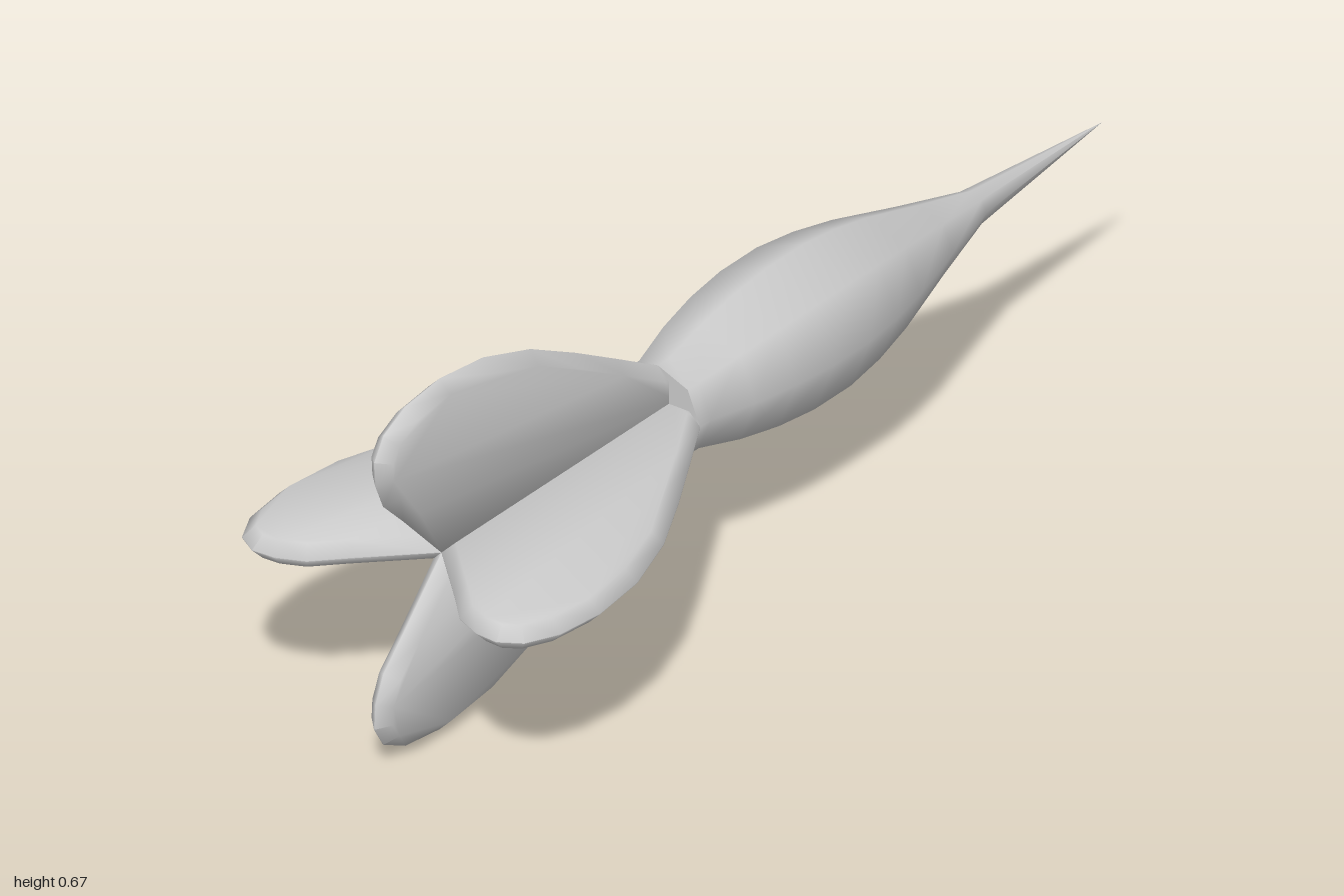
import * as THREE from 'three';
import { mergeVertices, toCreasedNormals } from 'three/addons/utils/BufferGeometryUtils.js';

const AXIS_Y = 0.335;
const BEVEL = 0.022;
const CREASE = THREE.MathUtils.degToRad(50);

// Smooth across gentle edges, sharp across the rest
function soften(geometry) {
  geometry.deleteAttribute('uv');
  geometry.deleteAttribute('normal');
  return toCreasedNormals(mergeVertices(geometry, 1e-4), CREASE);
}

// Eight-sided barrel with a collar at the back and a needle point at the front: [z, radius]
function bodyGeometry() {
  const profile = [
    [0.22, 0], [0.22, 0.088], [0.19, 0.088], [0.1, 0.113], [0.01, 0.13],
    [-0.08, 0.139], [-0.18, 0.139], [-0.27, 0.128], [-0.36, 0.109],
    [-0.5, 0.069], [-0.64, 0.032], [-1, 0],
  ].map(([z, r]) => new THREE.Vector2(r, -z));
  const geometry = new THREE.LatheGeometry(profile, 8);
  geometry.rotateX(-Math.PI / 2);
  return soften(geometry);
}

// Leaf-shaped fin with a pointed bevelled rim: outline as [z, distance from axis]
function finGeometry() {
  const outline = [
    [0.18, 0], [0.815, 0], [0.92, 0.107], [0.975, 0.16], [0.997, 0.21],
    [1, 0.255], [0.975, 0.295], [0.915, 0.324], [0.82, 0.335], [0.7, 0.321],
    [0.57, 0.278], [0.445, 0.214], [0.33, 0.15], [0.22, 0.088], [0.18, 0.075],
  ].map(([z, r]) => new THREE.Vector2(z, r));
  const depth = 0.001;
  const geometry = new THREE.ExtrudeGeometry(new THREE.Shape(outline), {
    depth, bevelEnabled: true, bevelSegments: 1,
    bevelSize: BEVEL, bevelThickness: BEVEL, bevelOffset: -BEVEL,
  });
  geometry.translate(0, 0, -depth / 2);
  geometry.rotateY(-Math.PI / 2);
  return soften(geometry);
}

export function createModel() {
  const model = new THREE.Group();
  model.name = 'dart';
  const material = new THREE.MeshStandardMaterial({ color: 0xcccccc });

  const body = new THREE.Mesh(bodyGeometry(), material);
  body.name = 'body';
  body.position.y = AXIS_Y;
  model.add(body);

  // Four fins in a cross around the axis
  const fin = finGeometry();
  ['topFin', 'leftFin', 'bottomFin', 'rightFin'].forEach((name, i) => {
    const mesh = new THREE.Mesh(fin, material);
    mesh.name = name;
    mesh.position.y = AXIS_Y;
    mesh.rotation.z = -i * Math.PI / 2;
    model.add(mesh);
  });
  return model;
}
